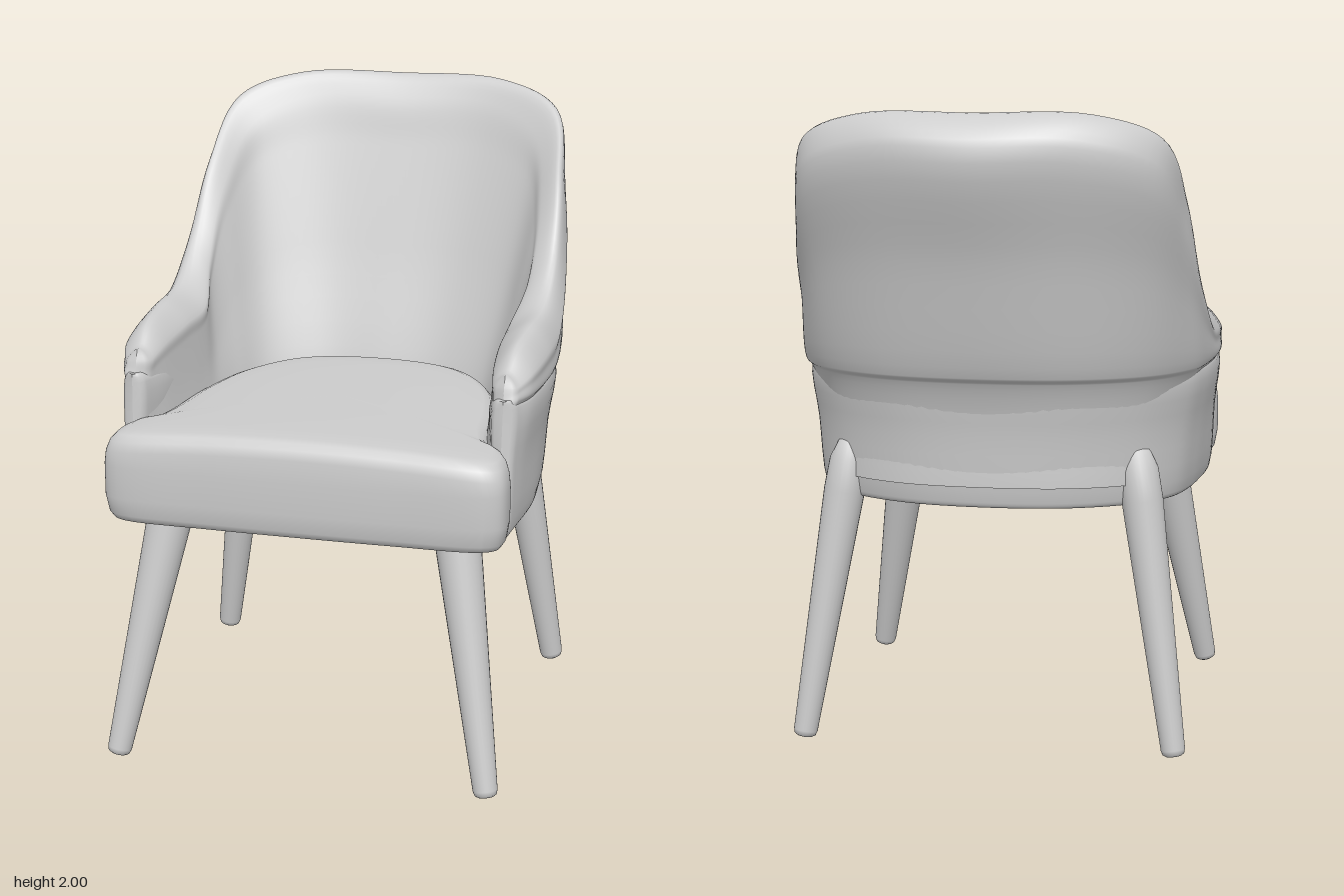
import * as THREE from 'three';

const V = (x, y, z) => new THREE.Vector3(x, y, z);

// Smooth skin over rows of points; wrap joins the last column to the first
function skin(rows, wrap = false) {
  const n = rows[0].length, pos = [], index = [];
  rows.forEach(r => r.forEach(p => pos.push(p.x, p.y, p.z)));
  for (let i = 0; i < rows.length - 1; i++) {
    for (let j = 0; j < (wrap ? n : n - 1); j++) {
      const k = (j + 1) % n;
      const a = i * n + j, b = a + n, c = (i + 1) * n + k, d = i * n + k;
      index.push(a, b, c, a, c, d);
    }
  }
  const g = new THREE.BufferGeometry();
  g.setAttribute('position', new THREE.Float32BufferAttribute(pos, 3));
  g.setIndex(index);
  g.computeVertexNormals();
  return g;
}

// Curve running from the left arm front, round the back, to the right arm front
function railCurve(half) {
  const pts = half.map(p => V(...p));
  const mirrored = pts.slice(1).map(p => V(-p.x, p.y, p.z));
  return new THREE.CatmullRomCurve3([...pts.reverse(), ...mirrored]);
}
const flat = (y, pts) => pts.map(([x, z]) => [x, y, z]);

// Rails listed from back centre to arm front
const baseLow = railCurve(flat(0.78, [[0, -0.46], [0.25, -0.43], [0.45, -0.33], [0.56, -0.2],
  [0.6, -0.06], [0.62, 0.1], [0.63, 0.25], [0.62, 0.42], [0.612, 0.525]]));
const baseHigh = railCurve(flat(1.19, [[0, -0.5], [0.28, -0.47], [0.48, -0.36], [0.6, -0.2],
  [0.64, -0.06], [0.657, 0.1], [0.657, 0.25], [0.645, 0.4], [0.622, 0.475]]));
const padLow = railCurve(flat(1.2, [[0, -0.55], [0.3, -0.51], [0.51, -0.39], [0.62, -0.22],
  [0.65, -0.07], [0.666, 0.1], [0.666, 0.25], [0.65, 0.4], [0.624, 0.473]]));
const rimOuter = railCurve([[0, 1.9, -0.74], [0.3, 1.9, -0.69], [0.53, 1.83, -0.57], [0.605, 1.65, -0.38],
  [0.642, 1.44, -0.19], [0.66, 1.3, 0], [0.665, 1.28, 0.2], [0.65, 1.26, 0.38], [0.62, 1.235, 0.457]]);
const rimTop = railCurve([[0, 1.998, -0.63], [0.35, 1.993, -0.587], [0.545, 1.92, -0.49], [0.598, 1.725, -0.31],
  [0.615, 1.5, -0.155], [0.61, 1.375, 0], [0.6, 1.352, 0.2], [0.588, 1.325, 0.36], [0.58, 1.27, 0.44]]);
const rimInner = railCurve([[0, 1.92, -0.57], [0.3, 1.92, -0.55], [0.48, 1.84, -0.46], [0.54, 1.65, -0.29],
  [0.54, 1.43, -0.12], [0.505, 1.31, 0.03], [0.51, 1.29, 0.2], [0.525, 1.265, 0.36], [0.54, 1.235, 0.447]]);
const innerLow = railCurve(flat(0.98, [[0, -0.28], [0.2, -0.27], [0.36, -0.19], [0.42, -0.08],
  [0.45, 0.03], [0.465, 0.13], [0.48, 0.25], [0.505, 0.38], [0.538, 0.485]]));

// Sweeps a cross-section along the rails and rounds off both arm fronts
function sweep(section, stations, samples) {
  const rows = [];
  for (let i = 0; i <= stations; i++) {
    rows.push(new THREE.CatmullRomCurve3(section(i / stations)).getPoints(samples));
  }
  const close = (row, amount, forward) => row.map((p, j) => {
    const mid = p.clone().add(row[samples - j]).multiplyScalar(0.5);
    const q = p.clone().lerp(mid, amount);
    q.z += forward;
    return q;
  });
  const caps = row => [close(row, 0.12, 0.013), close(row, 0.4, 0.024), close(row, 1, 0.03)];
  return skin([...caps(rows[0]).reverse(), ...rows, ...caps(rows[stations])]);
}

const level = (p, y) => V(p.x, y, p.z);
const mix = (a, b, f) => a.clone().lerp(b, f);

// Lower band of the shell, thinner at the back where the padding leans away
function baseSection(t) {
  const low = baseLow.getPoint(t), high = baseHigh.getPoint(t), inner = innerLow.getPoint(t);
  const wall = mix(inner, low, 0.5 - 0.4 * Math.abs(2 * t - 1));
  const core = V(inner.x * 0.8, 0.79, inner.z);
  const highIn = level(wall, 1.2), highOut = level(high, 1.2);
  return [core, level(mix(low, wall, 0.12), 0.783), level(low, 0.8), mix(low, high, 0.55),
    level(high, 1.175), mix(highOut, highIn, 0.2), mix(highOut, highIn, 0.5), mix(highOut, highIn, 0.8),
    level(wall, 1.175), level(wall, 1.0), level(wall, 0.82), level(wall, 0.79), core];
}

// Padded back and arms, tucked down into the lower band
function padSection(t) {
  const low = padLow.getPoint(t), inner = innerLow.getPoint(t);
  const outer = rimOuter.getPoint(t), top = rimTop.getPoint(t), rim = rimInner.getPoint(t);
  const tuck = mix(low, inner, 0.28);
  return [level(tuck, 0.85), level(tuck, 1.0), level(mix(low, inner, 0.07), 1.18), low,
    mix(low, outer, 0.5), outer, top, rim, mix(rim, inner, 0.15),
    mix(rim, inner, 0.3), mix(rim, inner, 0.55), inner, level(inner, 0.85)];
}

// Seat cushion: a T-shaped outline stacked in rings with a domed top
function cushionGeometry() {
  const half = [[0, -0.33], [0.28, -0.28], [0.43, -0.1], [0.5, 0.15], [0.53, 0.4], [0.56, 0.5], [0.615, 0.55],
    [0.627, 0.6], [0.62, 0.67], [0.57, 0.703], [0.3, 0.715], [0, 0.718]];
  const mirrored = half.slice(1, -1).reverse().map(([x, z]) => [-x, z]);
  const outline = new THREE.CatmullRomCurve3([...half, ...mirrored].map(([x, z]) => V(x, 0, z)), true)
    .getPoints(132).slice(0, -1);
  const rings = [[0, 0.782], [0.93, 0.782], [0.965, 0.785], [0.985, 0.805], [1, 0.86], [1, 0.96], [0.993, 1.0],
    [0.975, 1.03], [0.945, 1.048], [0.9, 1.056], [0.75, 1.059], [0.5, 1.06], [0.25, 1.06], [0, 1.06]];
  return skin(rings.map(([s, y]) => outline.map(p => {
    const x = p.x * s, z = 0.2 + (p.z - 0.2) * s;
    const dome = y > 0.97 ? 0.03 * (1 - (x / 0.63) ** 2) : 0;
    return V(x, y + dome, z);
  })), true);
}

// Tapered round leg between two points
function leg(foot, head, topRadius, material) {
  const length = foot.distanceTo(head);
  const profile = [[0, 0], [0.025, 0], [0.034, 0.006], [0.038, 0.02], [topRadius, length * 0.82],
    [topRadius * 0.95, length * 0.92], [topRadius * 0.65, length * 0.98], [0, length]];
  const mesh = new THREE.Mesh(
    new THREE.LatheGeometry(profile.map(([r, y]) => new THREE.Vector2(r, y)), 28), material);
  mesh.position.copy(foot);
  mesh.quaternion.setFromUnitVectors(V(0, 1, 0), head.clone().sub(foot).normalize());
  return mesh;
}

export function createModel() {
  const chair = new THREE.Group();
  chair.name = 'armchair';
  const grey = new THREE.MeshStandardMaterial({ color: 0xcccccc, side: THREE.DoubleSide });
  grey.name = 'light grey';

  const add = (name, mesh) => {
    mesh.name = name;
    chair.add(mesh);
  };
  add('shellBase', new THREE.Mesh(sweep(baseSection, 96, 48), grey));
  add('paddedBackAndArms', new THREE.Mesh(sweep(padSection, 112, 72), grey));
  add('seatCushion', new THREE.Mesh(cushionGeometry(), grey));

  for (const [side, s] of [['Left', 1], ['Right', -1]]) {
    add('front' + side + 'Leg', leg(V(s * 0.592, 0.01, 0.705), V(s * 0.435, 0.9, 0.51), 0.07, grey));
    add('back' + side + 'Leg', leg(V(s * 0.592, 0.01, -0.422), V(s * 0.45, 0.97, -0.305), 0.065, grey));
  }
  return chair;
}
